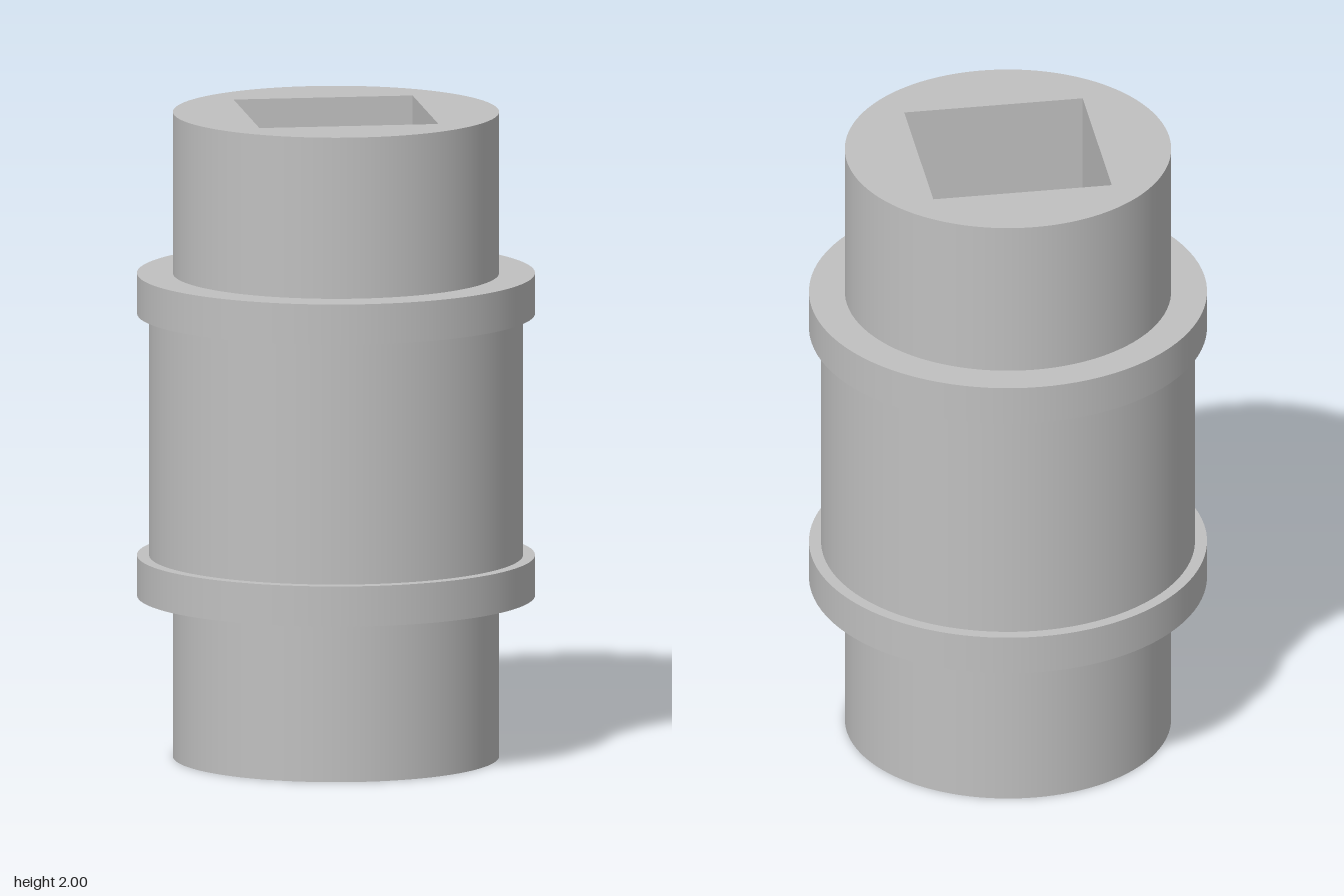
import * as THREE from 'three';

const SEGMENTS = 96;
const HEIGHT = 2;
const END_R = 0.5, COLLAR_R = 0.61, BODY_R = 0.573;
const BORE = 0.277; // half width of the square bore

export function createModel() {
  const group = new THREE.Group();
  group.name = 'squareBoreSleeve';
  const metal = new THREE.MeshStandardMaterial({ color: 0xc0c0c0 });
  metal.name = 'grey metal';

  const add = (name, geometry, y) => {
    const mesh = new THREE.Mesh(geometry, metal);
    mesh.name = name;
    mesh.position.y = y;
    group.add(mesh);
    return mesh;
  };

  // Round outer wall between two heights
  const wall = (name, r, y0, y1) =>
    add(name, new THREE.CylinderGeometry(r, r, y1 - y0, SEGMENTS, 1, true), (y0 + y1) / 2);

  // Flat annular step, facing up (1) or down (-1)
  const step = (name, inner, outer, y, up) =>
    add(name, new THREE.RingGeometry(inner, outer, SEGMENTS).rotateX(-up * Math.PI / 2), y);

  // Round end face with a square opening
  const endFace = (name, y, up) => {
    const shape = new THREE.Shape().absarc(0, 0, END_R, 0, Math.PI * 2, false);
    const hole = new THREE.Path();
    hole.moveTo(-BORE, -BORE).lineTo(-BORE, BORE).lineTo(BORE, BORE).lineTo(BORE, -BORE).closePath();
    shape.holes.push(hole);
    add(name, new THREE.ShapeGeometry(shape, SEGMENTS).rotateX(-up * Math.PI / 2), y);
  };

  // Central body
  wall('body', BODY_R, 0.625, 1.375);

  // Lower and upper journals and collars
  wall('lowerJournal', END_R, 0, 0.5);
  wall('upperJournal', END_R, 1.5, HEIGHT);
  wall('lowerCollar', COLLAR_R, 0.5, 0.625);
  wall('upperCollar', COLLAR_R, 1.375, 1.5);
  step('lowerCollarUnderside', END_R, COLLAR_R, 0.5, -1);
  step('lowerCollarTop', BODY_R, COLLAR_R, 0.625, 1);
  step('upperCollarUnderside', BODY_R, COLLAR_R, 1.375, -1);
  step('upperCollarTop', END_R, COLLAR_R, 1.5, 1);

  // End faces
  endFace('bottomFace', 0, -1);
  endFace('topFace', HEIGHT, 1);

  // Square through bore, walls facing inward
  for (let i = 0; i < 4; i++) {
    const side = new THREE.PlaneGeometry(BORE * 2, HEIGHT);
    side.translate(0, 0, -BORE).rotateY(i * Math.PI / 2);
    add('boreWall', side, HEIGHT / 2);
  }

  return group;
}
